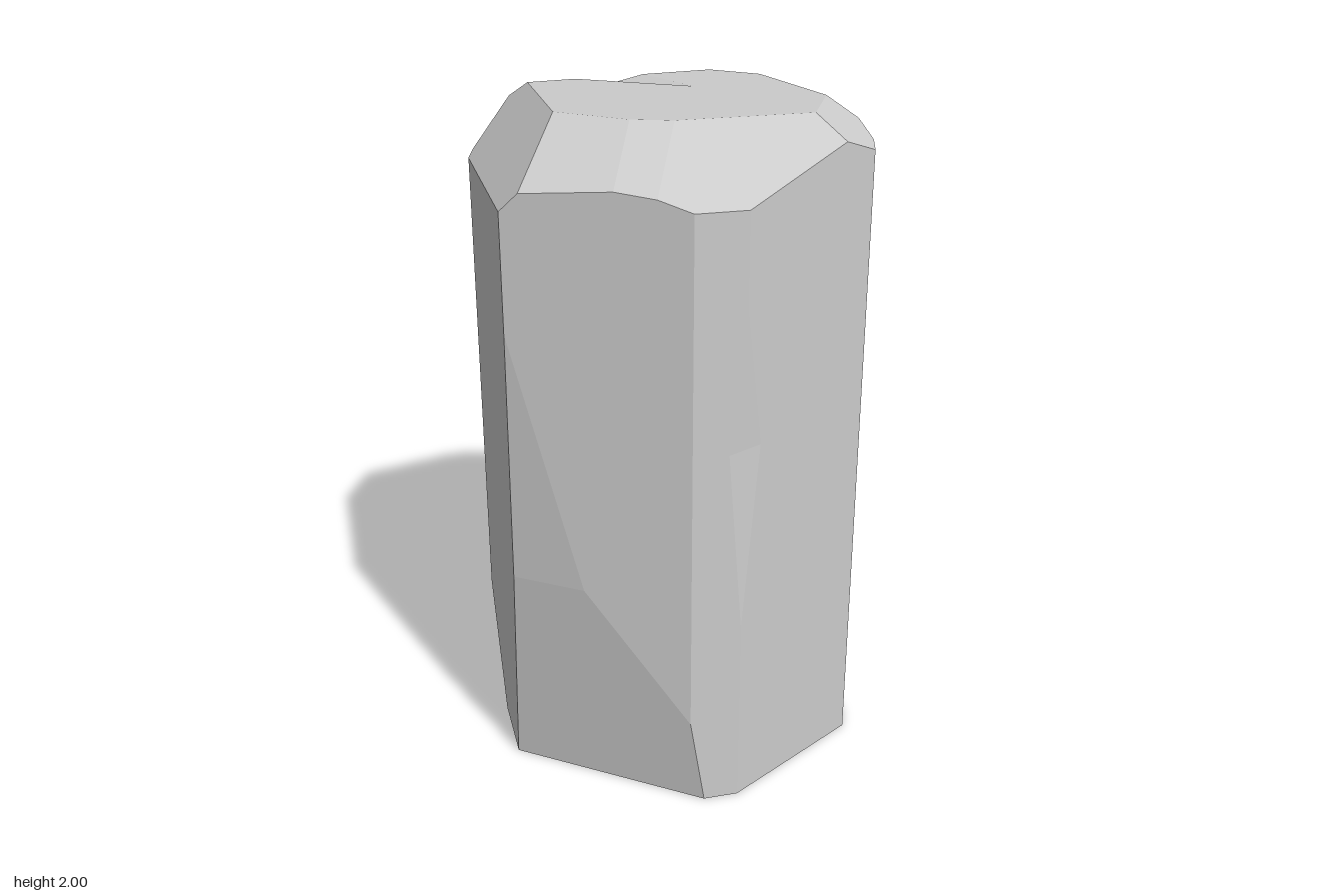
import * as THREE from 'three';

const V = (x, y, z) => new THREE.Vector3(x, y, z);
const CENTRE = V(0, 1, 0);

// Plane helpers: every normal points away from the middle of the stone
const facing = (normal, point) => new THREE.Plane().setFromNormalAndCoplanarPoint(normal.normalize(), point);
const wall = (dx, dz, dist) => facing(V(dx, 0, dz), V(dx, 0, dz).normalize().multiplyScalar(dist));
const bevel = (x, z, dx, dz, slope) => {
  const l = Math.hypot(dx, dz);
  return facing(V(dx / l * slope, 1, dz / l * slope), V(x, 2, z));
};
const through = (a, b, c) => {
  const p = new THREE.Plane().setFromCoplanarPoints(V(...a), V(...b), V(...c));
  return p.distanceToPoint(CENTRE) > 0 ? p.negate() : p;
};

// Part of a convex polygon on one side of a plane (side -1 = inside, 1 = outside)
function clip(poly, plane, side) {
  const out = [];
  poly.forEach((a, i) => {
    const b = poly[(i + 1) % poly.length];
    const da = plane.distanceToPoint(a) * side, db = plane.distanceToPoint(b) * side;
    if (da >= 0) out.push(a);
    if ((da > 1e-9 && db < -1e-9) || (da < -1e-9 && db > 1e-9)) out.push(a.clone().lerp(b, da / (da - db)));
  });
  return out.length > 2 ? out : [];
}

// Large square lying on a plane, counter-clockwise from outside
function sheet(plane) {
  const n = plane.normal;
  const u = (Math.abs(n.y) > 0.9 ? V(1, 0, 0) : V(0, 1, 0)).cross(n).normalize();
  const v = n.clone().cross(u);
  const o = plane.projectPoint(CENTRE, V(0, 0, 0));
  return [[-4, -4], [4, -4], [4, 4], [-4, 4]].map(([a, b]) => o.clone().addScaledVector(u, a).addScaledVector(v, b));
}

export function createModel() {
  const planes = [];
  // Six sides of the column
  for (let i = 0; i < 6; i++) {
    const a = i * Math.PI / 3;
    planes.push(wall(Math.cos(a), Math.sin(a), 0.535));
  }
  // Worn vertical corners
  planes.push(
    wall(0, 1, 0.575), wall(0, -1, 0.58),
    wall(0.86, -0.51, 0.583), wall(0.95, 0.316, 0.584), wall(-0.85, -0.53, 0.608));
  // Flat top and the bevels around it
  planes.push(
    facing(V(0, 1, 0), V(0, 2, 0)),
    bevel(-0.345, 0, -1, 0, 1.1),
    bevel(-0.295, 0.14, -0.63, 0.78, 0.57),
    bevel(-0.165, 0.245, -0.33, 0.94, 0.55),
    bevel(0, 0.285, 0, 1, 0.6),
    bevel(0.345, 0.285, 0.89, 0.45, 0.63),
    bevel(0.43, 0.13, 0.88, 0.48, 0.4),
    bevel(0.44, 0.03, 0.967, -0.25, 0.87),
    bevel(0.23, -0.38, 0.63, -0.77, 0.4),
    bevel(0.2, -0.375, -0.1, -0.995, 0.67));
  // Chipped lower corners
  planes.push(
    through([-0.53, 0, 0.2], [-0.05, 0, 0.56], [-0.35, 0.68, 0.416]),
    through([-0.535, 0.68, 0.277], [-0.35, 0.68, 0.416], [-0.535, 1.45, 0.309]),
    through([-0.28, 0, -0.456], [-0.535, 0, -0.04], [-0.53, 0.36, -0.31]));
  const ground = facing(V(0, -1, 0), V(0, 0, 0));
  const solid = [...planes, ground];

  // V-shaped cuts: a crack across the top rim and a shallow dent in the front edge
  const notch = (a, b, left, right) => [through(a, b, left), through(a, b, right)];
  const notches = [
    notch([-0.23, 1.92, -0.45], [0.12, 2, -0.14], [-0.19, 2, -0.33], [0.02, 2, -0.35]),
    notch([0.03, 1.14, 0.575], [0.13, 1.15, 0.543], [0.073, 1.55, 0.575], [0.073, 0.6, 0.575]),
  ];

  // Outer faces, open underneath
  const trim = (p) => solid.reduce((poly, q) => (q === p ? poly : clip(poly, q, -1)), sheet(p));
  let faces = planes.map(trim);
  // Remove what lies in each notch, then add the notch walls
  for (const [p, q] of notches) {
    faces = faces.flatMap((f) => [clip(f, p, -1), clip(clip(f, p, 1), q, -1)]);
    faces.push(clip(trim(p), q, 1), clip(trim(q), p, 1));
  }

  const pos = [];
  for (const f of faces)
    for (let i = 1; i < f.length - 1; i++)
      for (const v of [f[0], f[i], f[i + 1]]) pos.push(v.x, v.y, v.z);
  const geometry = new THREE.BufferGeometry();
  geometry.setAttribute('position', new THREE.Float32BufferAttribute(pos, 3));
  geometry.computeVertexNormals();

  const stone = new THREE.Mesh(geometry, new THREE.MeshStandardMaterial({
    color: 0xcccccc, flatShading: true, side: THREE.DoubleSide,
  }));
  stone.name = 'stoneColumn';
  const group = new THREE.Group();
  group.name = 'hexagonalRock';
  group.add(stone);
  return group;
}
